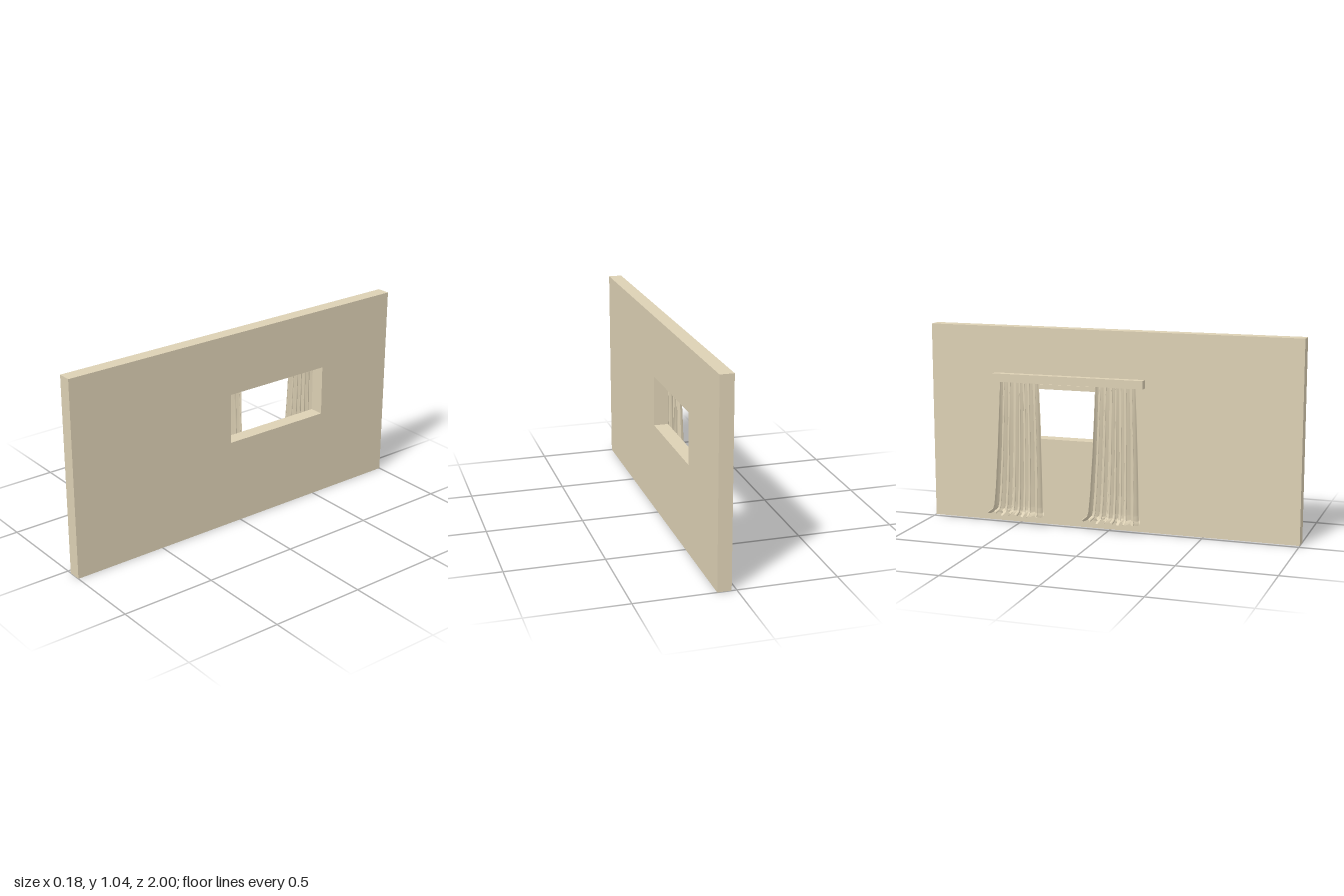
import * as THREE from 'three';

const material = new THREE.MeshStandardMaterial({ color: 0xdcd0b4 });
const clothMaterial = new THREE.MeshStandardMaterial({ color: 0xdcd0b4, side: THREE.DoubleSide });

// Counter-clockwise rectangle in (z, y)
function rect(target, z0, z1, y0, y1) {
  target.moveTo(z0, y0);
  target.lineTo(z1, y0);
  target.lineTo(z1, y1);
  target.lineTo(z0, y1);
  target.closePath();
  return target;
}

// Upright slab between x0 and x1 with a rectangular opening
function slabWithOpening(name, outer, hole, x0, x1) {
  const shape = rect(new THREE.Shape(), ...outer);
  shape.holes.push(rect(new THREE.Path(), ...hole));
  const geo = new THREE.ExtrudeGeometry(shape, { depth: x1 - x0, bevelEnabled: false });
  geo.rotateY(-Math.PI / 2).translate(x1, 0, 0);
  const mesh = new THREE.Mesh(geo, material);
  mesh.name = name;
  return mesh;
}

// Curtain rows: [y, front x, back x, low z, high z], from rail to pooled hem
const ROWS = [
  [0.76, -0.007, 0.011, -0.075, 0.143],
  [0.6, -0.017, 0.013, -0.08, 0.15],
  [0.4, -0.029, 0.015, -0.088, 0.158],
  [0.2, -0.043, 0.016, -0.1, 0.166],
  [0.1, -0.056, 0.016, -0.108, 0.17],
  [0.07, -0.066, 0.015, -0.114, 0.174],
  [0.06, -0.084, 0.012, -0.122, 0.178],
  [0.051, -0.097, 0.008, -0.13, 0.18],
];

// Pleated cloth sheet: folds deepen and wander downwards, the hem spreads out
function curtainGeometry() {
  const across = 160, down = 42, pleats = 8;
  const geo = new THREE.PlaneGeometry(1, 1, across, down);
  const pos = geo.attributes.position;
  for (let j = 0; j <= down; j++) {
    const f = (j / down) * (ROWS.length - 1);
    const k = Math.min(Math.floor(f), ROWS.length - 2);
    const [y, front, back, z0, z1] = ROWS[k].map((a, n) => THREE.MathUtils.lerp(a, ROWS[k + 1][n], f - k));
    const drop = (0.76 - y) / 0.71;
    const hem = THREE.MathUtils.smoothstep(y, 0.05, 0.11);
    for (let i = 0; i <= across; i++) {
      const u = i / across;
      const phase = u * pleats * Math.PI * 2 + 0.9 * Math.sin(u * 11) + 0.35 * drop * Math.sin(u * 17 + 1);
      const fold = Math.sin(phase) * (0.82 + 0.18 * Math.sin(u * 23 + 2));
      // the high-z end swings further out from the wall
      const swing = drop * drop;
      const b = back - 0.03 * swing * u * u;
      const fr = front + 0.028 * swing * (1 - u);
      const x = THREE.MathUtils.lerp(b, fr, 0.5 + 0.5 * fold);
      const curl = (0.006 + 0.006 * drop) * Math.sin(phase * 2) * Math.min(1, 6 * u, 6 * (1 - u));
      const z = THREE.MathUtils.lerp(z0, z1, u) + curl;
      const ripple = (1 - hem) * 0.007 * (1 + Math.sin(phase * 1.5 + u * 9)) * (1 - (y - 0.05) / 0.06);
      pos.setXYZ(j * (across + 1) + i, x, y + ripple, z);
    }
  }
  geo.computeVertexNormals();
  return geo;
}

export function createModel() {
  const model = new THREE.Group();
  const opening = [-0.545, 0.065, 0.46, 0.725];

  model.add(slabWithOpening('wall', [-1, 1, 0, 1.045], opening, 0.025, 0.095));
  model.add(slabWithOpening('windowFrame', [-0.575, 0.095, 0.43, 0.75], opening, 0.02, 0.026));

  // Boxed rail the curtains hang from
  const rail = new THREE.Mesh(new THREE.BoxGeometry(0.038, 0.043, 0.825), material);
  rail.name = 'curtainRail';
  rail.position.set(0.006, 0.7785, -0.2275);
  model.add(rail);

  // Two identical curtains
  const cloth = curtainGeometry();
  [['leftCurtain', 0], ['rightCurtain', -0.53]].forEach(([name, z]) => {
    const curtain = new THREE.Mesh(cloth, clothMaterial);
    curtain.name = name;
    curtain.position.z = z;
    model.add(curtain);
  });
  return model;
}
